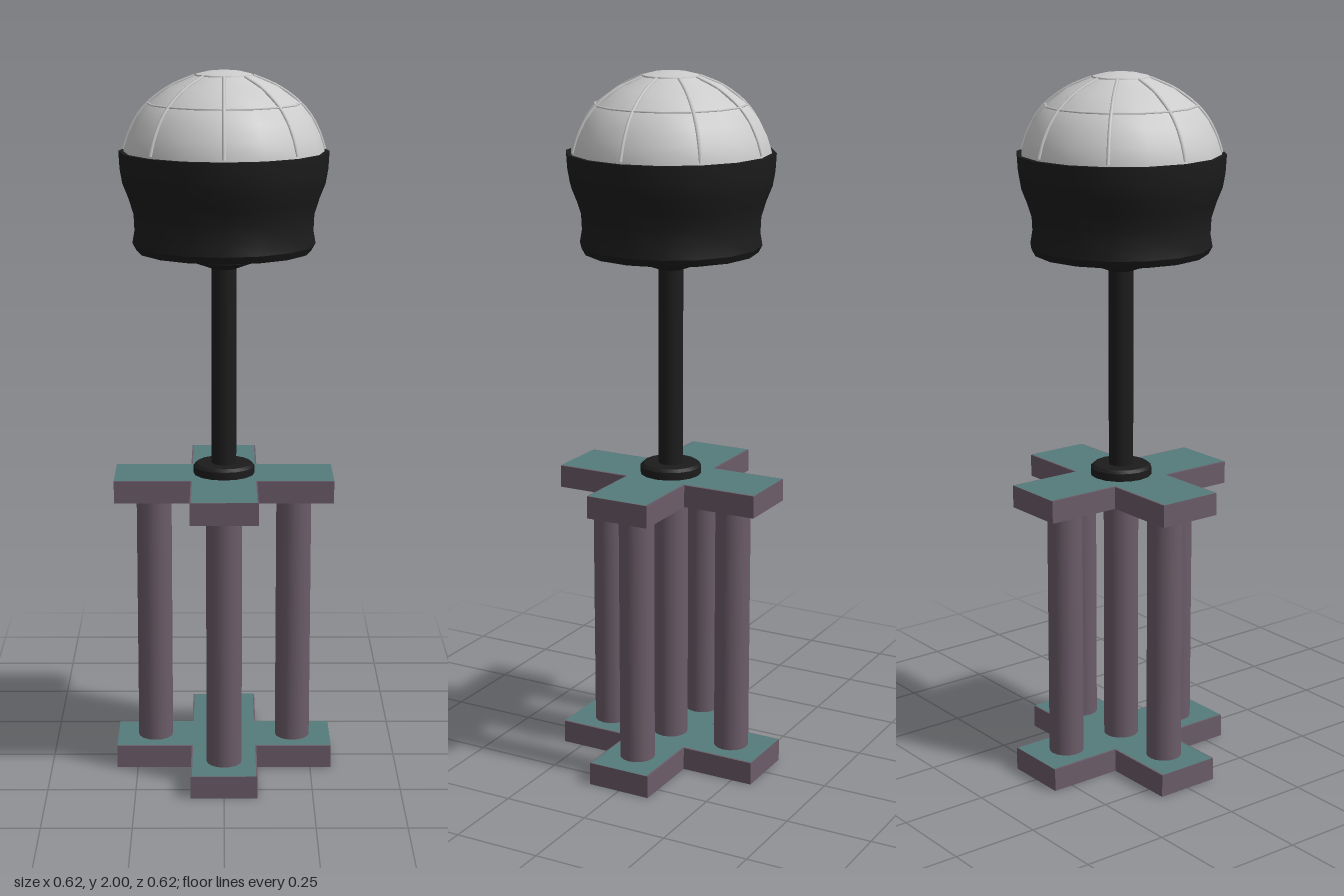
import * as THREE from 'three';
import { toCreasedNormals } from 'three/addons/utils/BufferGeometryUtils.js';

const material = (color) => new THREE.MeshStandardMaterial({ color });

export function createModel() {
  const model = new THREE.Group();
  const stone = material(0x6b5c68), teal = material(0x557a7c);
  const black = material(0x1c1c1c), glass = material(0xcccccc);

  function add(name, geometry, mat, x = 0, y = 0, z = 0) {
    const mesh = new THREE.Mesh(geometry, mat);
    mesh.name = name;
    mesh.position.set(x, y, z);
    model.add(mesh);
    return mesh;
  }
  const vectors = (points) => points.map(([r, y]) => new THREE.Vector2(r, y));
  const lathe = (points, crease = 0.6) =>
    toCreasedNormals(new THREE.LatheGeometry(vectors(points), 16), crease);

  // Plus-shaped outline with arm length l and half width w
  const cross = (l, w) => new THREE.Shape(vectors([
    [w, -l], [w, -w], [l, -w], [l, w], [w, w], [w, l],
    [-w, l], [-w, w], [-l, w], [-l, -w], [-w, -w], [-w, -l],
  ]));

  // Cross plates, each with a coloured top face
  function plate(name, bottom, top) {
    const slab = new THREE.ExtrudeGeometry(cross(0.31, 0.094), { depth: top - bottom, bevelEnabled: false });
    add(name, slab.rotateX(-Math.PI / 2), stone, 0, bottom);
    const face = new THREE.ShapeGeometry(cross(0.31, 0.09)).rotateX(-Math.PI / 2);
    add(name + 'Top', face, teal, 0, top + 0.001);
  }
  plate('lowerPlate', 0, 0.066);
  plate('upperPlate', 0.8, 0.864);

  // Columns: one in the middle and one on each arm
  for (const [x, z] of [[0, 0], [0.2, 0], [-0.2, 0], [0, 0.2], [0, -0.2]]) {
    add('column', new THREE.CylinderGeometry(0.05, 0.05, 0.74, 16, 1, true), stone, x, 0.433, z);
  }

  // Pole with its foot collar
  add('poleFoot', lathe([[0, 0.865], [0.087, 0.865], [0.087, 0.887], [0.078, 0.895], [0, 0.895]]), black);
  add('pole', new THREE.CylinderGeometry(0.035, 0.035, 0.62, 16, 1, true), black, 0, 1.18);
  add('poleCollar', lathe([[0, 1.455], [0.035, 1.455], [0.097, 1.478], [0.097, 1.505]], 0.45), black);

  // Waisted housing with an open rim
  add('housing', lathe([
    [0, 1.5], [0.2, 1.5], [0.243, 1.505], [0.254, 1.525], [0.248, 1.56], [0.25, 1.605],
    [0.264, 1.65], [0.28, 1.69], [0.287, 1.73], [0.29, 1.78], [0.278, 1.78], [0.276, 1.76],
  ]), black);

  // Dome with a stepped foot and a rounded crown
  const domeProfile = [[0.276, 1.785], [0.263, 1.826], [0.24, 1.872], [0.209, 1.91], [0.146, 1.956], [0.08, 1.984]];
  add('dome', lathe([[0.277, 1.755], ...domeProfile], 0.9), glass);
  add('domeCrown', lathe([[0.08, 1.982], [0.078, 1.988], [0.045, 1.996], [0, 2]], 0.9), glass);

  // Raised ribs following the dome
  const ribCurve = new THREE.CatmullRomCurve3(domeProfile.map(([r, y]) => new THREE.Vector3(r, y, 0)));
  for (let i = 0; i < 8; i++) {
    add('domeRib', new THREE.TubeGeometry(ribCurve, 14, 0.005, 6), glass).rotation.y = i * Math.PI / 4;
  }
  const ring = new THREE.TorusGeometry(0.209, 0.003, 6, 16).rotateX(Math.PI / 2);
  add('domeRing', ring, glass, 0, 1.91);

  return model;
}
